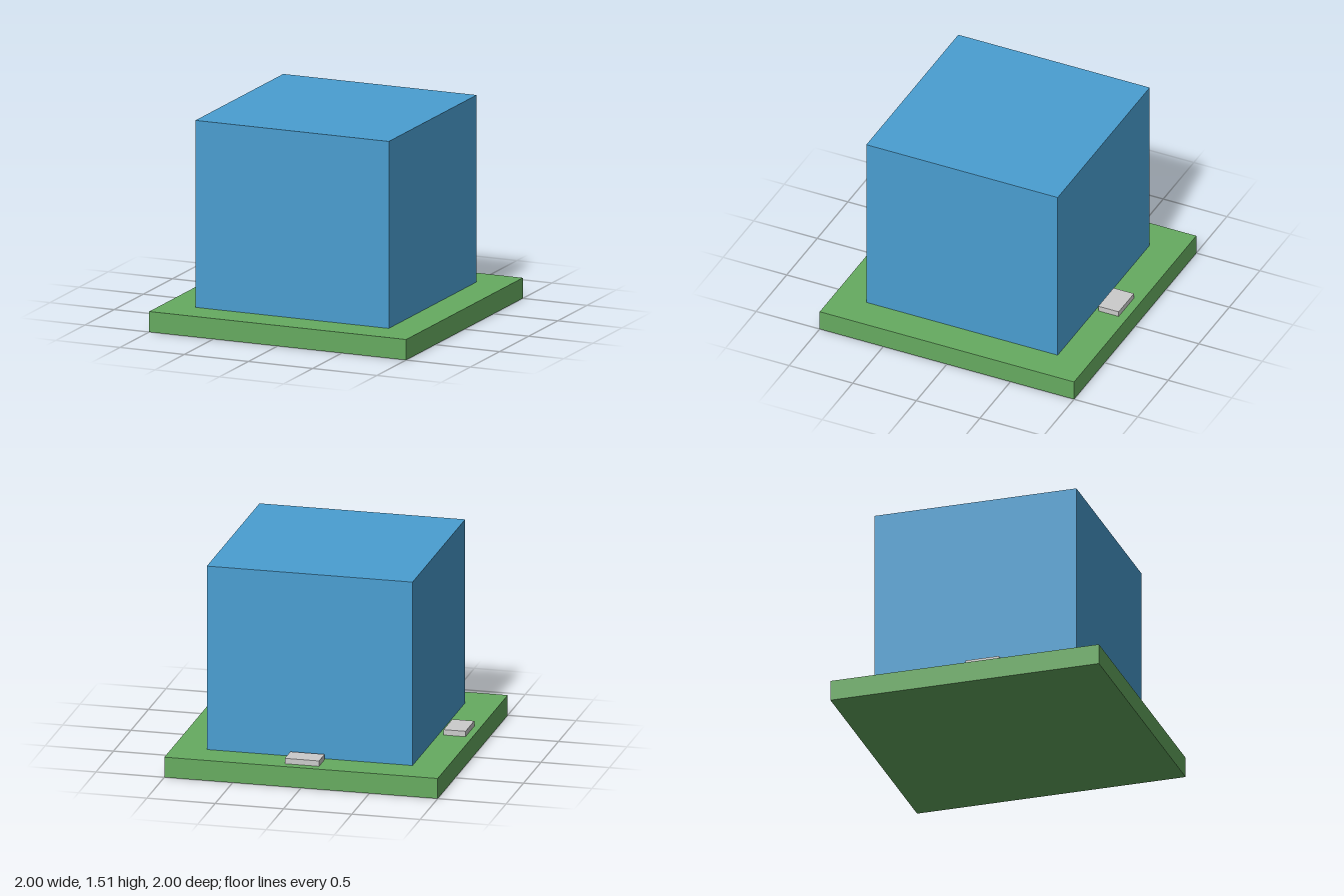
import * as THREE from 'three';

const GREEN = new THREE.MeshStandardMaterial({ color: 0x66ab60 });
const BLUE = new THREE.MeshStandardMaterial({ color: 0x4a9ed1 });
const GREY = new THREE.MeshStandardMaterial({ color: 0xcccccc });

// Box given by its size and the centre of its underside
function block(name, material, [w, h, d], [x, y, z]) {
  const mesh = new THREE.Mesh(new THREE.BoxGeometry(w, h, d), material);
  mesh.name = name;
  mesh.position.set(x, y + h / 2, z);
  return mesh;
}

export function createModel() {
  const model = new THREE.Group();
  model.name = 'blockOnBase';
  const baseTop = 0.15;

  model.add(
    // Ground slab and the large cube standing on it
    block('base', GREEN, [2, baseTop, 2], [0, 0, 0]),
    block('mainBlock', BLUE, [1.505, 1.365, 1.505], [0, baseTop, 0]),
    // Doorstep slabs on the right and back edges
    block('rightStep', GREY, [0.16, 0.04, 0.25], [-0.87, baseTop, 0.115]),
    block('backStep', GREY, [0.25, 0.04, 0.16], [0.01, baseTop, -0.855]),
  );
  return model;
}
